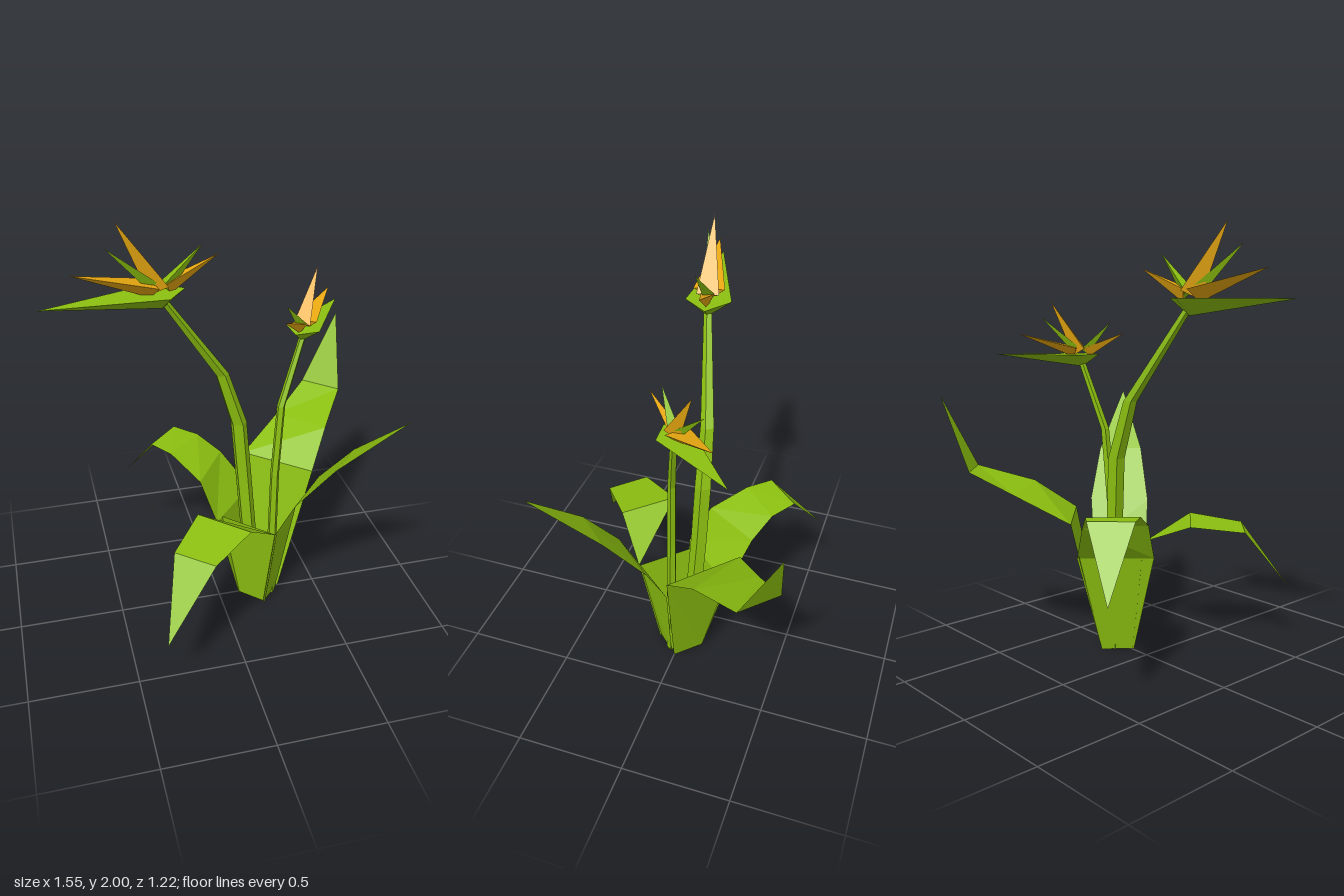
import * as THREE from 'three';

const green = new THREE.MeshStandardMaterial({ color: 0x8cc010, flatShading: true, side: THREE.DoubleSide });
const orange = new THREE.MeshStandardMaterial({ color: 0xe8a810, flatShading: true, side: THREE.DoubleSide });

function mesh(name, geometry, material) {
  const m = new THREE.Mesh(geometry, material);
  m.name = name;
  return m;
}

function fromTriangles(points, index) {
  const g = new THREE.BufferGeometry();
  g.setAttribute('position', new THREE.Float32BufferAttribute(points.flat(), 3));
  g.setIndex(index);
  const flat = g.toNonIndexed();
  flat.computeVertexNormals();
  return flat;
}

// Folded strip through [leftEdge, rightEdge] pairs, closed by an optional pointed tip
function strip(name, pairs, tip) {
  const points = pairs.flat();
  const index = [];
  for (let i = 0; i < pairs.length - 1; i++) {
    const a = i * 2;
    index.push(a, a + 1, a + 3, a, a + 3, a + 2);
  }
  if (tip) {
    const n = points.length;
    index.push(n - 2, n - 1, n);
    points.push(tip);
  }
  return mesh(name, fromTriangles(points, index), green);
}

// Tapering stalk: horizontal rings of five points along a bent path [x, y, z, radius]
function stalk(name, path) {
  const sides = 5, points = [], index = [];
  path.forEach(([x, y, z, r], i) => {
    for (let s = 0; s < sides; s++) {
      const a = (s / sides) * Math.PI * 2;
      points.push([x + r * Math.cos(a), y, z + r * Math.sin(a)]);
      if (i === path.length - 1) continue;
      const p = i * sides + s, q = i * sides + (s + 1) % sides;
      index.push(p, p + sides, q, q, p + sides, q + sides);
    }
  });
  return mesh(name, fromTriangles(points, index), green);
}

// Three-sided spike from just above the bract to a tip
function spike(name, material, tip, width, height, baseX) {
  const base = new THREE.Vector3(baseX, 0.02, 0);
  const end = new THREE.Vector3(...tip);
  const length = end.distanceTo(base);
  const g = new THREE.ConeGeometry(1, length, 3);
  g.translate(0, length / 2, 0).rotateX(Math.PI / 2).scale(width / 1.73, height / 1.5, 1);
  const m = new THREE.Matrix4().lookAt(end, base, new THREE.Vector3(0, 1, 0));
  g.applyMatrix4(m.setPosition(base));
  return mesh(name, g, material);
}

// Flower head: keeled bract pointing along +x with a fan of spikes
function flower(name, position, turn, size) {
  const f = new THREE.Group();
  f.name = name;
  const rim = [[0.53, 0, 0], [0, 0, -0.1], [-0.105, 0, 0], [0, 0, 0.105], [0, -0.075, 0]];
  f.add(mesh('bract', fromTriangles(rim,
    [0, 1, 2, 0, 2, 3, 0, 4, 1, 1, 4, 2, 2, 4, 3, 3, 4, 0]), green));
  f.add(spike('frontPetal', orange, [0.39, 0.125, 0], 0.14, 0.06, 0.04));
  f.add(spike('uprightPetal', orange, [0.19, 0.32, 0], 0.1, 0.08, 0.01));
  f.add(spike('backPetal', orange, [-0.26, 0.13, 0], 0.06, 0.06, -0.02));
  f.add(spike('frontSepal', green, [0.25, 0.23, -0.035], 0.06, 0.05, 0.02));
  f.add(spike('backSepal', green, [-0.175, 0.195, -0.03], 0.06, 0.05, -0.01));
  f.position.set(...position);
  f.rotation.y = turn;
  f.scale.setScalar(size);
  return f;
}

export function createModel() {
  const plant = new THREE.Group();
  plant.name = 'floweringPlant';

  // Leaves
  plant.add(strip('backLeftLeaf', [
    [[0.20, 0, -0.11], [0.31, 0, 0.0]],
    [[0.20, 0.65, -0.29], [0.48, 0.65, -0.035]],
    [[0.42, 0.77, -0.44], [0.60, 0.79, -0.20]],
    [[0.60, 0.875, -0.575], [0.75, 0.875, -0.43]],
  ], [0.78, 1.23, -0.61]));
  plant.add(strip('frontLeftLeaf', [
    [[0.29, 0, 0.02], [0.20, 0, 0.11]],
    [[0.39, 0.475, 0.0], [0.22, 0.475, 0.20]],
    [[0.48, 0.68, 0.06], [0.285, 0.67, 0.27]],
    [[0.585, 0.905, 0.21], [0.44, 0.905, 0.365]],
  ], [0.715, 1.18, 0.485]));
  plant.add(strip('backRightLeaf', [
    [[0.10, 0, 0.01], [0.20, 0, -0.11]],
    [[-0.02, 0.475, 0.03], [0.22, 0.475, -0.24]],
    [[-0.08, 0.66, -0.06], [0.085, 0.66, -0.315]],
    [[-0.19, 0.745, -0.21], [-0.02, 0.74, -0.38]],
    [[-0.27, 0.755, -0.31], [-0.125, 0.755, -0.46]],
  ], [-0.38, 0.46, -0.56]));
  plant.add(strip('frontRightSheath', [
    [[0.10, 0, 0.0], [0.21, 0, 0.11]],
    [[0.01, 0.475, -0.02], [0.23, 0.475, 0.20]],
  ]));
  plant.add(strip('frontRightLeaf', [
    [[-0.295, 0.59, 0.36], [-0.14, 0.595, 0.505]],
    [[-0.14, 0.625, 0.15], [0.06, 0.63, 0.35]],
  ], [0.23, 0.475, 0.20]));
  plant.add(strip('frontRightLeafTip', [
    [[-0.295, 0.59, 0.36], [-0.14, 0.595, 0.505]],
  ], [-0.38, 0.28, 0.605]));

  // Stalks
  plant.add(stalk('tallStalk', [
    [0.19, 0, -0.04, 0.04], [0.14, 0.65, -0.075, 0.04], [0.115, 0.95, -0.085, 0.04],
    [0.03, 1.22, -0.075, 0.033], [-0.24, 1.63, 0.015, 0.02],
  ]));
  plant.add(stalk('shortStalk', [
    [0.26, 0, 0.03, 0.025], [0.27, 0.7, 0.015, 0.022],
    [0.295, 1.06, 0.0, 0.02], [0.40, 1.37, -0.05, 0.016],
  ]));

  // Flower heads
  plant.add(flower('tallFlower', [-0.25, 1.68, 0.02], Math.PI + 0.17, 1));
  plant.add(flower('shortFlower', [0.40, 1.415, -0.05], 0.85, 0.78));
  return plant;
}
